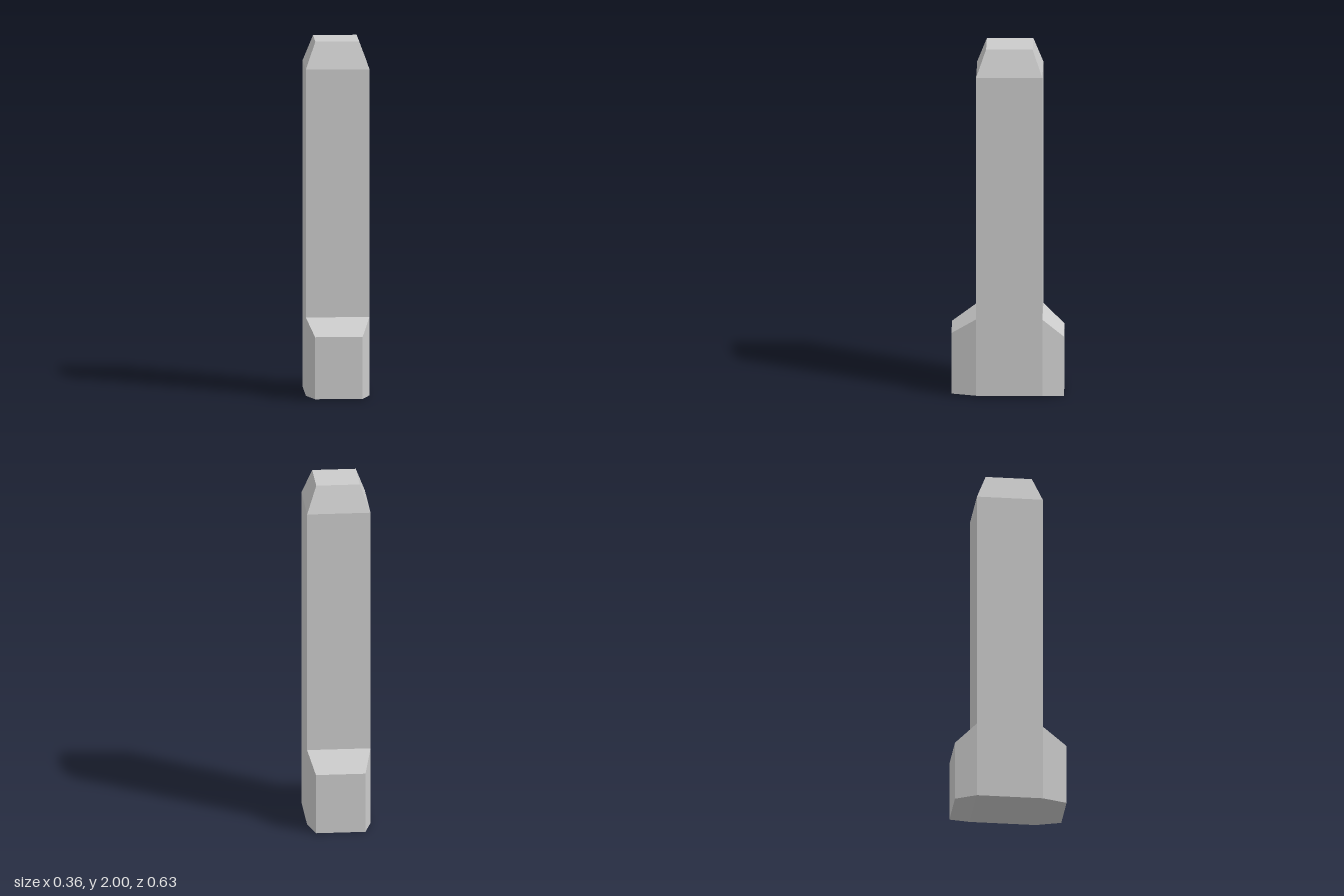
import * as THREE from 'three';

const material = new THREE.MeshStandardMaterial({ color: 0xcccccc, flatShading: true });

// Skins four-cornered rings (counter-clockwise seen from the last ring's end) and caps the ends.
function loft(name, rings, capStart = true) {
  const positions = [];
  const quad = (a, b, c, d) => positions.push(...a, ...b, ...c, ...a, ...c, ...d);
  for (let r = 0; r < rings.length - 1; r++) {
    for (let i = 0; i < 4; i++) {
      const j = (i + 1) % 4;
      quad(rings[r][i], rings[r][j], rings[r + 1][j], rings[r + 1][i]);
    }
  }
  quad(...rings[rings.length - 1]);
  if (capStart) quad(...[...rings[0]].reverse());
  const geometry = new THREE.BufferGeometry();
  geometry.setAttribute('position', new THREE.Float32BufferAttribute(positions, 3));
  geometry.computeVertexNormals();
  const mesh = new THREE.Mesh(geometry, material);
  mesh.name = name;
  return mesh;
}

// Horizontal ring at height y
const level = (y, x, back, front) => [[x, y, front], [x, y, back], [-x, y, back], [-x, y, front]];

// Upright ring at depth z, facing front (side = 1) or back (side = -1)
const upright = (z, x, bottom, top, side) => [
  [-x * side, bottom, z], [x * side, bottom, z], [x * side, top, z], [-x * side, top, z],
];

export function createModel() {
  const group = new THREE.Group();
  group.name = 'pillar';

  // Square shaft with a bevelled top
  group.add(loft('shaft', [
    level(0.01, 0.178, -0.195, 0.175),
    level(1.85, 0.178, -0.195, 0.175),
    level(2, 0.122, -0.14, 0.12),
  ]));

  // Tapered buttresses at the foot, open where they join the shaft
  group.add(loft('frontButtress', [
    upright(0.175, 0.178, 0.01, 0.452, 1),
    upright(0.314, 0.133, 0.01, 0.36, 1),
  ], false));
  group.add(loft('backButtress', [
    upright(-0.195, 0.178, 0.01, 0.452, -1),
    upright(-0.314, 0.139, 0, 0.345, -1),
  ], false));

  return group;
}
